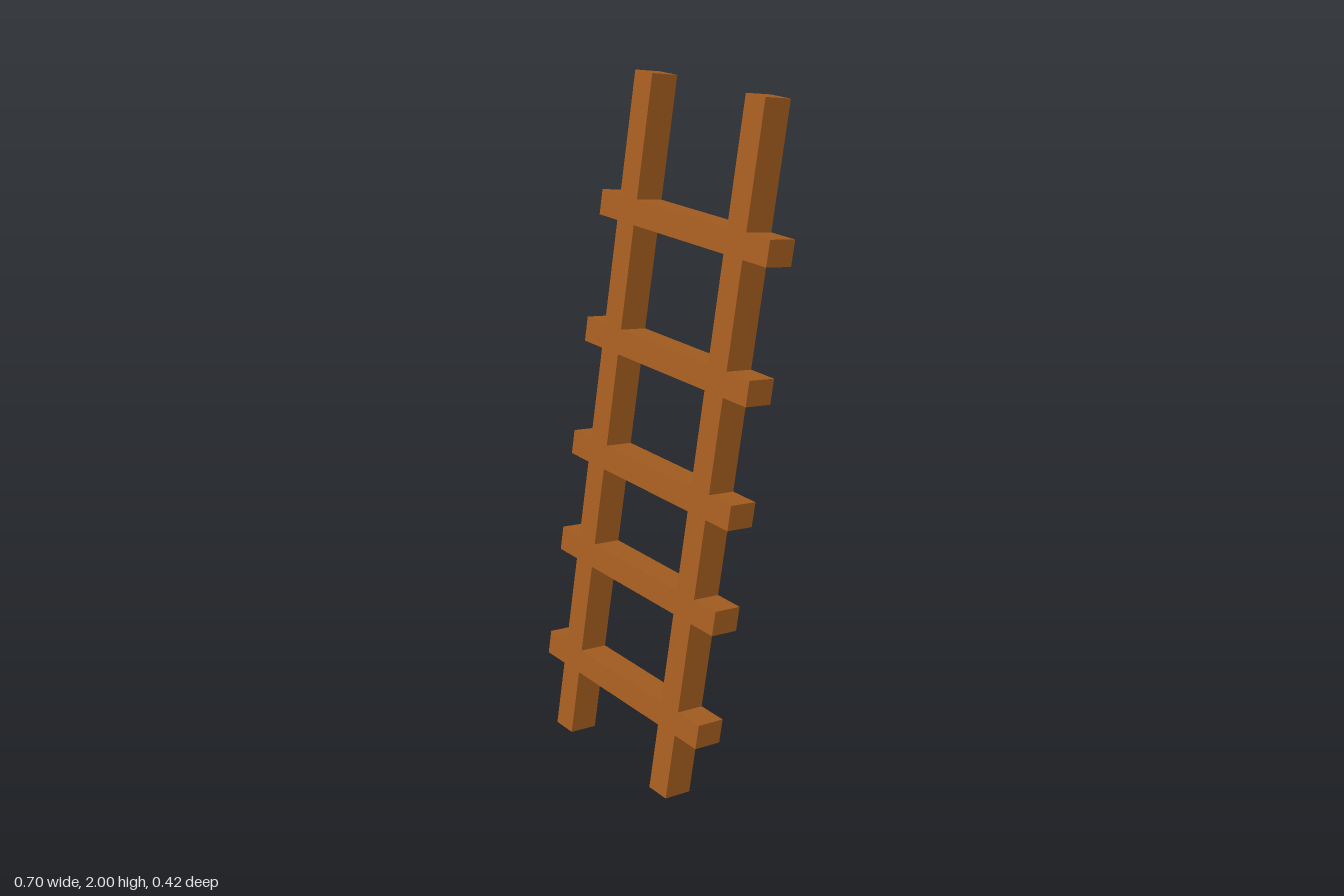
import * as THREE from 'three';

const LEAN = Math.atan2(0.33, 1.985); // backward tilt of the ladder
const DEPTH = 0.091;

export function createModel() {
  const wood = new THREE.MeshStandardMaterial({ color: 0xa65e20, flatShading: true });
  const model = new THREE.Group();
  model.name = 'ladder';

  // Everything is built upright in this frame, then leaned back about its centre
  const frame = new THREE.Group();
  frame.name = 'leaningFrame';
  frame.position.y = 1;
  frame.rotation.x = -LEAN;
  model.add(frame);

  const beam = (name, width, height, x, y) => {
    const mesh = new THREE.Mesh(new THREE.BoxGeometry(width, height, DEPTH), wood);
    mesh.name = name;
    mesh.position.set(x, y, 0);
    frame.add(mesh);
  };

  // Side rails
  beam('leftRail', 0.075, 2.012, 0.224, 0);
  beam('rightRail', 0.075, 2.012, -0.232, 0);

  // Rungs, flush with the rails and poking out at both sides
  [0.244, 0.587, 0.893, 1.239, 1.611].forEach((height, i) => {
    beam(`rung${i + 1}`, 0.705, 0.073, 0, (height - 1) / Math.cos(LEAN));
  });

  return model;
}
